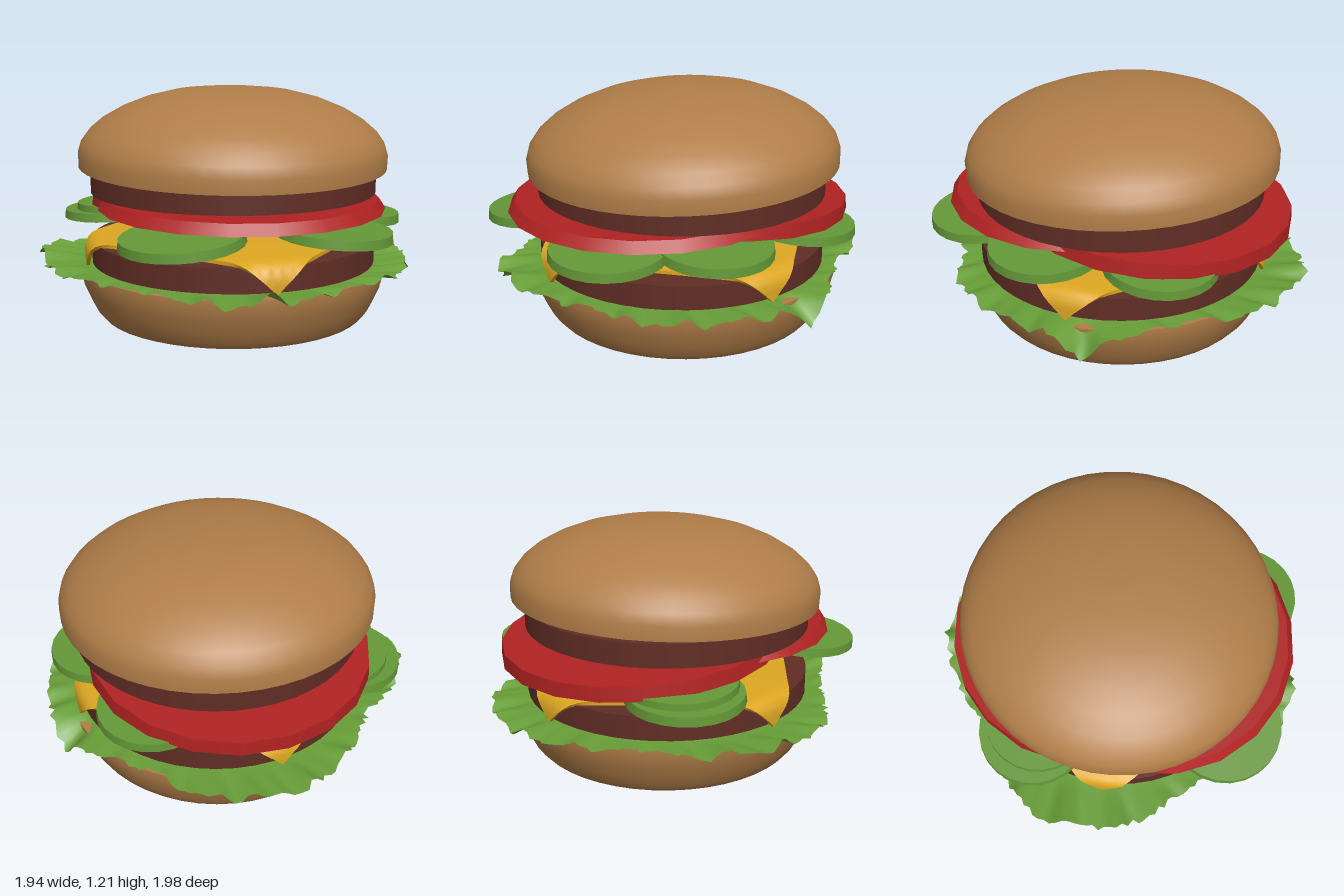
import * as THREE from 'three';

const mat = (name, color, side = THREE.FrontSide) => {
  const m = new THREE.MeshStandardMaterial({ color, side });
  m.name = name;
  return m;
};

export function createModel() {
  const bun = mat('bun brown', 0xb07d48);
  const meat = mat('patty brown', 0x602d25);
  const red = mat('tomato red', 0xb02222);
  const pickleGreen = mat('pickle green', 0x659838);
  const pickleUnder = mat('pickle underside', 0x75806a);
  const leaf = mat('lettuce green', 0x699f39, THREE.DoubleSide);
  const yellow = mat('cheese yellow', 0xdca622);

  const model = new THREE.Group();
  const cx = 0.03; // stack axis
  const add = (name, geometry, material, x, y, z, rx = 0, rz = 0) => {
    const mesh = new THREE.Mesh(geometry, material);
    mesh.name = name;
    mesh.position.set(x, y, z);
    mesh.rotation.set(rx, 0, rz);
    model.add(mesh);
    return mesh;
  };

  // Lathe whose flat caps stay crisp: separate lathes for each run of points
  const lathe = (name, runs, material, ...place) => runs.forEach((pts, i) =>
    add(name + (i ? 'Cap' : ''), new THREE.LatheGeometry(pts.map(p => new THREE.Vector2(...p)), 48), material, ...place));

  // Buns
  lathe('bottomBun', [
    [[0, 0], [0.5, 0.003], [0.63, 0.018], [0.695, 0.035], [0.725, 0.07], [0.755, 0.13], [0.785, 0.2], [0.8, 0.26], [0.8, 0.3]],
    [[0.8, 0.3], [0, 0.3]],
  ], bun, cx, 0, 0);
  lathe('topBun', [
    [[0.8, 0], [0.802, 0.07], [0.785, 0.125], [0.745, 0.18], [0.68, 0.235], [0.585, 0.29], [0.46, 0.34], [0.32, 0.375], [0.16, 0.393], [0, 0.398]],
    [[0, 0], [0.8, 0]],
  ], bun, cx, 0.813, 0, 0.04);

  // Patties
  add('lowerPatty', new THREE.CylinderGeometry(0.742, 0.742, 0.12, 48), meat, cx, 0.377, 0.01);
  add('upperPatty', new THREE.CylinderGeometry(0.742, 0.742, 0.118, 48), meat, cx, 0.741, 0.01);

  // Tomato slices, one slid forward and one slid back
  add('frontTomato', new THREE.CylinderGeometry(0.69, 0.725, 0.052, 20), red, cx, 0.655, 0.197, 0.012);
  add('backTomato', new THREE.CylinderGeometry(0.715, 0.725, 0.072, 20), red, cx, 0.626, -0.165, -0.078);

  // Pickles: x, y, z, radius, tilts
  [
    [-0.35, 0.56, 0.62, 0.3, 0.05, 0.07],
    [0.38, 0.562, 0.62, 0.285, 0.03, -0.06],
    [0.59, 0.562, 0.17, 0.29, 0, -0.07],
    [0.52, 0.555, -0.39, 0.28, -0.06, -0.04],
    [-0.54, 0.525, -0.35, 0.29, -0.03, 0.04],
    [-0.48, 0.565, -0.33, 0.285, -0.04, 0.05],
  ].forEach(([x, y, z, r, rx, rz], i) => add('pickle' + (i + 1),
    new THREE.CylinderGeometry(r * 0.98, r, 0.045, 24), [pickleGreen, pickleGreen, pickleUnder], x, y, z, rx, rz));

  // Cheese: square sheet turned cornerwise, domed and bent down over the patty rim
  const cheese = new THREE.BoxGeometry(1.25, 0.018, 1.25, 32, 1, 32);
  cheese.rotateY(Math.PI / 4 + 0.04);
  const cp = cheese.attributes.position;
  for (let i = 0; i < cp.count; i++) {
    const x = cp.getX(i), z = cp.getZ(i), r = Math.hypot(x, z) || 1e-6;
    const start = 0.71, bend = 0.06, e = Math.max(0, r - start);
    const a = Math.min(e / bend, 1.45);
    const rr = Math.min(r, start) + (bend + cp.getY(i)) * Math.sin(a);
    const drop = bend * (1 - Math.cos(a)) + Math.max(0, e - bend * 1.45);
    const dome = 0.022 * Math.min(1, (r / start) ** 2);
    cp.setXYZ(i, x / r * rr, cp.getY(i) * Math.cos(a) - drop - dome, z / r * rr);
  }
  cheese.computeVertexNormals();
  add('cheese', cheese, yellow, cx, 0.472, 0.01);

  // Lettuce: ruffled ring, outer reach given every 15 degrees from +x towards +z
  const reach = [0.95, 0.95, 0.95, 0.94, 0.86, 0.92, 0.98, 0.97, 0.86, 0.82, 0.85, 0.93,
    0.97, 0.99, 0.93, 0.82, 0.86, 0.92, 0.99, 0.96, 0.94, 0.84, 0.86, 0.95];
  let seed = 7;
  const rand = () => (seed = (seed * 16807) % 2147483647) / 2147483647;
  const N = 192, M = 7, pos = [], index = [];
  for (let i = 0; i < N; i++) {
    const t = i / N * Math.PI * 2, k = i / N * 24, k0 = Math.floor(k);
    const outer = THREE.MathUtils.lerp(reach[k0], reach[(k0 + 1) % 24], k - k0) - rand() * 0.035 + 0.01;
    const near = (angle, width) => Math.exp(-((Math.atan2(Math.sin(t - angle), Math.cos(t - angle)) / width) ** 2));
    for (let j = 0; j <= M; j++) {
      const f = j / M, r = 0.55 + (outer - 0.55) * f, edge = Math.max(0, (r - 0.74) / 0.24);
      const ruffle = 0.019 * Math.sin(t * 23 + 2 * f) + 0.013 * Math.sin(t * 41 + 1 + 5 * f);
      const y = 0.313 + edge * (0.015 + ruffle)
        + edge * 0.04 * near(Math.PI / 2, 0.07) + edge * 0.03 * near(3.4, 0.25)
        - edge ** 1.5 * 0.13 * near(-0.17, 0.11);
      pos.push(Math.cos(t) * r, y, Math.sin(t) * r);
      if (j < M) {
        const a = i * (M + 1) + j, b = ((i + 1) % N) * (M + 1) + j;
        index.push(a, b, a + 1, b, b + 1, a + 1);
      }
    }
  }
  const lettuce = new THREE.BufferGeometry();
  lettuce.setAttribute('position', new THREE.Float32BufferAttribute(pos, 3));
  lettuce.setIndex(index);
  lettuce.computeVertexNormals();
  add('lettuce', lettuce, leaf, 0, 0, 0);

  return model;
}
